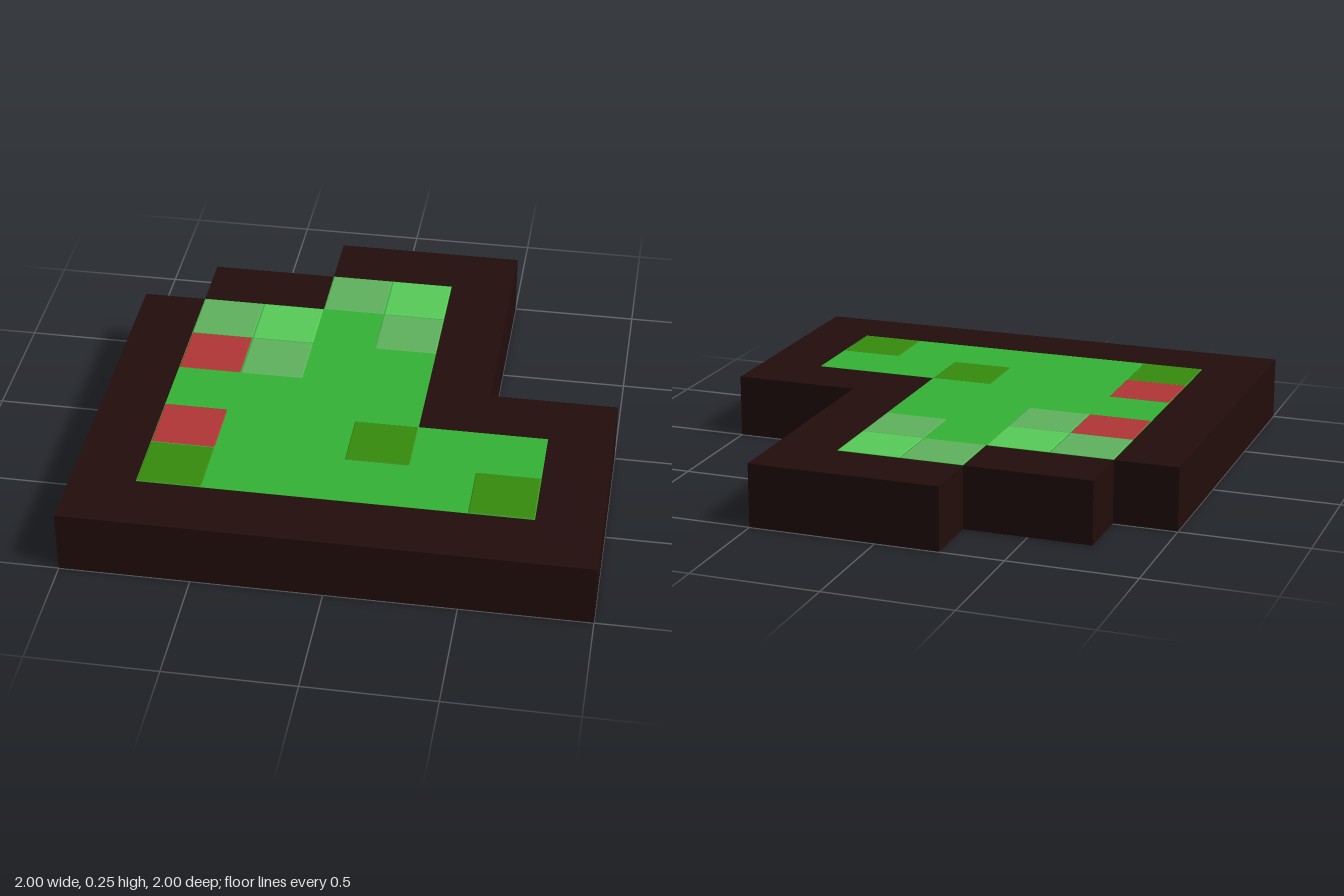
import * as THREE from 'three';
import { RoundedBoxGeometry } from 'three/addons/geometries/RoundedBoxGeometry.js';

const CELL = 0.25;
const HEIGHT = 0.25;

function makeMaterial(name, color) {
  const m = new THREE.MeshStandardMaterial({ color });
  m.name = name;
  return m;
}

// Outline corners are [x, z]; the shape is drawn in (x, -z) and laid flat.
const toPoints = (corners) => corners.map(([x, z]) => new THREE.Vector2(x, -z));

function slab(name, outline, hole, bottom, top, material) {
  const shape = new THREE.Shape(toPoints(outline));
  if (hole) shape.holes.push(new THREE.Path(toPoints(hole)));
  const geo = new THREE.ExtrudeGeometry(shape, { depth: top - bottom, bevelEnabled: false });
  geo.rotateX(-Math.PI / 2);
  geo.translate(0, bottom, 0);
  const mesh = new THREE.Mesh(geo, material);
  mesh.name = name;
  return mesh;
}

export function createModel() {
  const group = new THREE.Group();
  group.name = 'steppedTile';

  const dark = makeMaterial('dark brown', 0x220d0c);
  const green = makeMaterial('green', 0x35b335);
  const spots = {
    paleBlock: [makeMaterial('pale green', 0x5fb35f), [[1, 2], [2, 3], [3, 1], [4, 2]]],
    lightBlock: [makeMaterial('light green', 0x58cc58), [[2, 2], [4, 1]]],
    redBlock: [makeMaterial('red', 0xb33636), [[1, 3], [1, 5]]],
    oliveBlock: [makeMaterial('olive green', 0x368c0e), [[1, 6], [4, 5], [6, 6]]],
  };

  // Stepped border and the area it encloses
  const outer = [
    [-1, 1], [1, 1], [1, 0], [0.5, 0], [0.5, -1], [-0.25, -1],
    [-0.25, -0.75], [-0.75, -0.75], [-0.75, -0.5], [-1, -0.5],
  ];
  const inner = [
    [-0.75, 0.75], [0.75, 0.75], [0.75, 0.25], [0.25, 0.25], [0.25, -0.75],
    [-0.25, -0.75], [-0.25, -0.5], [-0.75, -0.5],
  ];
  group.add(slab('border', outer, inner, 0.002, HEIGHT, dark));
  group.add(slab('greenField', inner, null, 0.001, HEIGHT + 0.001, green));

  // Coloured blocks by [column, row], passing through the full thickness
  const block = new RoundedBoxGeometry(CELL + 0.002, HEIGHT + 0.003, CELL + 0.002, 2, 0.008);
  for (const [name, [material, cells]] of Object.entries(spots)) {
    for (const [col, row] of cells) {
      const mesh = new THREE.Mesh(block, material);
      mesh.name = name;
      mesh.position.set(-1 + (col + 0.5) * CELL, (HEIGHT + 0.003) / 2, -1 + (row + 0.5) * CELL);
      group.add(mesh);
    }
  }
  return group;
}
